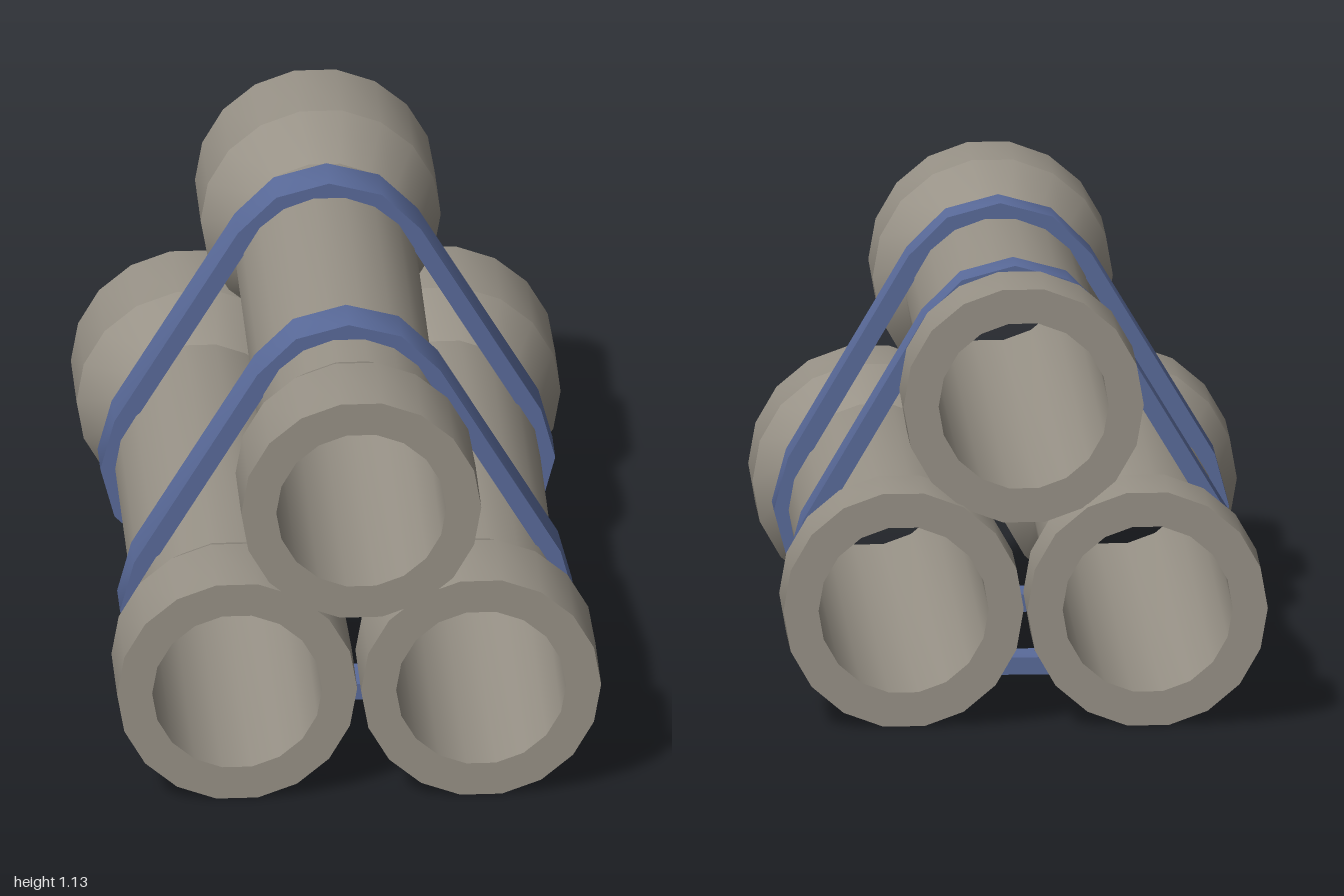
import * as THREE from 'three';
import { toCreasedNormals } from 'three/addons/utils/BufferGeometryUtils.js';

const SIDES = 18;
const FLARE = 0.308, BODY = 0.233, BORE = 0.218, HALF = 0.98;

// Pipe centres (x, y) with the small lengthwise shift of each pipe
const PIPES = [
  { name: 'topPipe', x: 0.003, y: 0.83, z: 0.02 },
  { name: 'leftPipe', x: 0.312, y: 0.305, z: -0.005 },
  { name: 'rightPipe', x: -0.313, y: 0.305, z: -0.02 },
];

// Hollow pipe with a flared collar at each end, lying along z
function pipeGeometry() {
  const profile = [
    [BORE, -HALF], [FLARE, -HALF], [FLARE, -0.74], [BODY, -0.58],
    [BODY, 0.58], [FLARE, 0.74], [FLARE, HALF], [BORE, HALF], [BORE, -HALF],
  ].map(([r, h]) => new THREE.Vector2(r, h));
  const lathe = new THREE.LatheGeometry(profile, SIDES, Math.PI / 2);
  lathe.rotateX(Math.PI / 2);
  return toCreasedNormals(lathe, 0.39);
}

// Outline of a belt stretched round the three pipes at a given radius
function beltPoints(radius) {
  const corners = [[PIPES[1], -90], [PIPES[0], 30], [PIPES[2], 150]];
  const points = [];
  for (const [pipe, start] of corners) {
    for (let i = 0; i <= 4; i++) {
      const a = THREE.MathUtils.degToRad(start + i * 30);
      points.push(new THREE.Vector2(pipe.x + radius * Math.cos(a), pipe.y + radius * Math.sin(a)));
    }
  }
  return points;
}

function strapGeometry(width) {
  const shape = new THREE.Shape(beltPoints(0.271));
  shape.holes.push(new THREE.Path(beltPoints(0.226)));
  const strap = new THREE.ExtrudeGeometry(shape, { depth: width, bevelEnabled: false });
  strap.translate(0, 0, -width / 2);
  return toCreasedNormals(strap, 0.6);
}

export function createModel() {
  const group = new THREE.Group();
  group.name = 'pipeBundle';

  const stone = new THREE.MeshStandardMaterial({ color: 0x989287 });
  stone.name = 'warm grey';
  const blue = new THREE.MeshStandardMaterial({ color: 0x5a6b9b });
  blue.name = 'strap blue';

  // Three stacked pipes
  const pipe = pipeGeometry();
  for (const { name, x, y, z } of PIPES) {
    const mesh = new THREE.Mesh(pipe, stone);
    mesh.name = name;
    mesh.position.set(x, y, z);
    group.add(mesh);
  }

  // Two straps holding the bundle
  const strap = strapGeometry(0.12);
  for (const [name, z] of [['frontStrap', 0.41], ['backStrap', -0.42]]) {
    const mesh = new THREE.Mesh(strap, blue);
    mesh.name = name;
    mesh.position.z = z;
    group.add(mesh);
  }
  return group;
}
